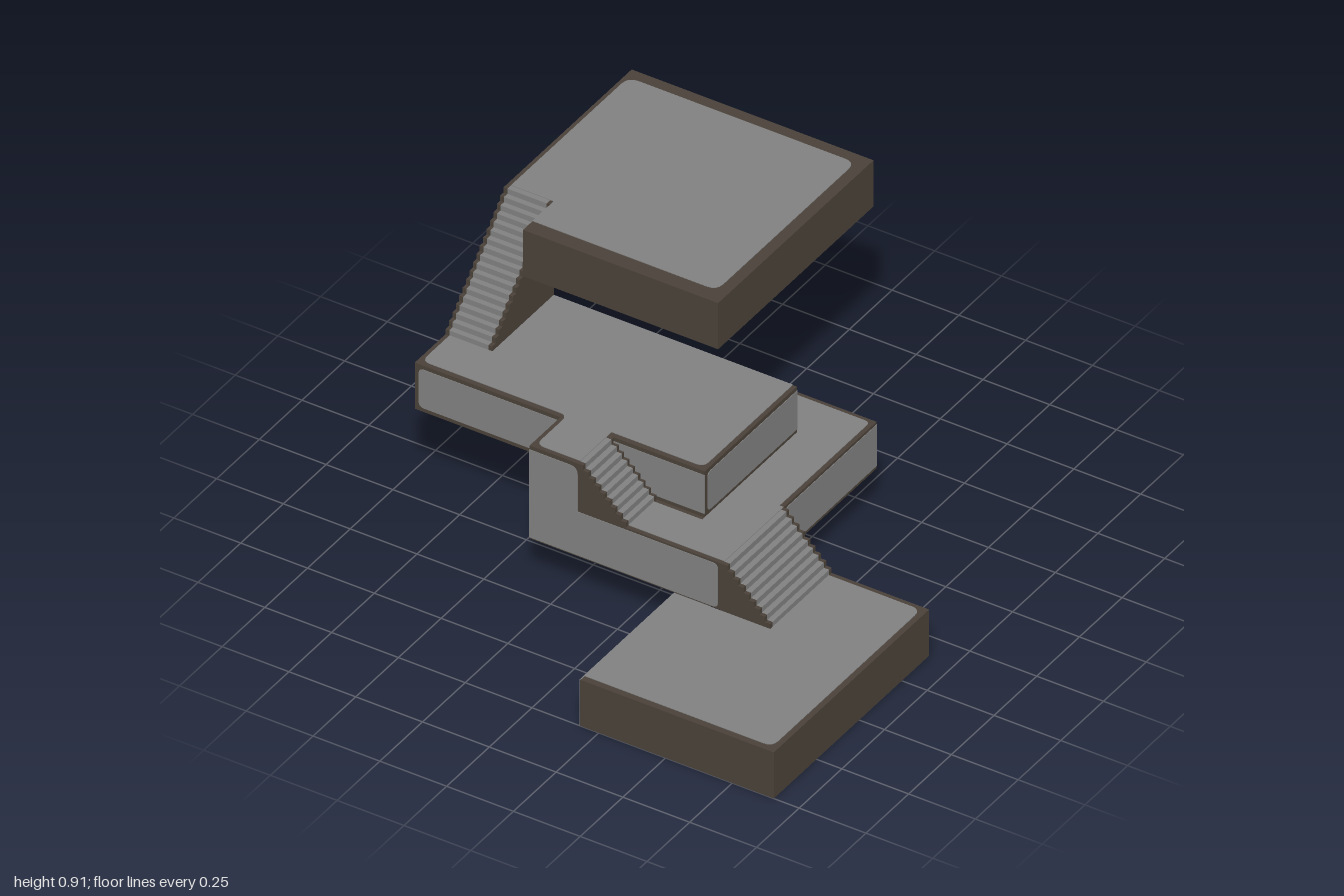
import * as THREE from 'three';

const stone = new THREE.MeshStandardMaterial({ color: 0x808080, side: THREE.DoubleSide });
stone.name = 'grey stone';
const trim = new THREE.MeshStandardMaterial({ color: 0x4a4239, side: THREE.DoubleSide });
trim.name = 'brown trim';

const T = 0.004; // thickness of the inlaid grey plates

// Polygon from [a, b, cornerRadius] points
function polygon(pts) {
  const s = new THREE.Shape();
  const n = pts.length;
  pts.forEach(([a, b, r = 0], i) => {
    const p = new THREE.Vector2(a, b);
    const toward = (q) => new THREE.Vector2(q[0], q[1]).sub(p).setLength(r).add(p);
    const from = r ? toward(pts[(i + n - 1) % n]) : p;
    if (i) s.lineTo(from.x, from.y); else s.moveTo(from.x, from.y);
    if (r) {
      const to = toward(pts[(i + 1) % n]);
      s.quadraticCurveTo(p.x, p.y, to.x, to.y);
    }
  });
  s.closePath();
  return s;
}

function mesh(name, geometry, material, parent) {
  const m = new THREE.Mesh(geometry, material);
  m.name = name;
  parent.add(m);
  return m;
}

const sheet = (pts) => new THREE.ShapeGeometry(polygon(pts), 4);
const plate = (pts) =>
  new THREE.ExtrudeGeometry(polygon(pts), { depth: T, bevelEnabled: false, curveSegments: 4 }).translate(0, 0, -T / 2);

// Horizontal floor: brown sheet with a grey inlay, points are [x, z, radius]
function floor(parent, y, outline, inlay) {
  const flip = (pts) => pts.map(([x, z, r]) => [x, -z, r]);
  mesh('floorBorder', sheet(flip(outline)).rotateX(-Math.PI / 2).translate(0, y, 0), trim, parent);
  mesh('floorInlay', plate(flip(inlay)).rotateX(-Math.PI / 2).translate(0, y, 0), stone, parent);
}

// Vertical wall from a to b; inset = [start, end, bottom, top] trim widths for a grey inlay
function wall(parent, [ax, az], [bx, bz], y0, y1, inset) {
  const L = Math.hypot(bx - ax, bz - az);
  const place = (g) => g.rotateY(-Math.atan2(bz - az, bx - ax)).translate(ax, 0, az);
  const rect = (l, r, b, t, cl = 0, cr = 0) => [[l, b, cl], [r, b, cr], [r, t, cr], [l, t, cl]];
  mesh('wall', place(sheet(rect(0, L, y0, y1))), trim, parent);
  if (!inset) return;
  const [s, e, b, t] = inset;
  const pts = rect(s, L - e, y0 + b, y1 - t, s ? 0.02 : 0, e ? 0.02 : 0);
  mesh('wallInlay', place(plate(pts)), stone, parent);
}

// Stair descending along +x from height h, width along +z, open underneath
function stair(name, n, run, h, width) {
  const g = new THREE.Group();
  g.name = name;
  const profile = [[0, h]];
  for (let i = 0; i < n; i++) {
    const u = ((i + 1) * run) / n;
    profile.push([u, h - (i * h) / n], [u, h - ((i + 1) * h) / n]);
  }
  const strip = (v0, v1) => {
    const p = [];
    for (let i = 0; i + 1 < profile.length; i++) {
      const [a, b] = profile[i];
      const [c, d] = profile[i + 1];
      p.push(a, b, v0, a, b, v1, c, d, v1, a, b, v0, c, d, v1, c, d, v0);
    }
    const geo = new THREE.BufferGeometry();
    geo.setAttribute('position', new THREE.Float32BufferAttribute(p, 3));
    geo.computeVertexNormals();
    return geo;
  };
  const e = 0.014;
  mesh('steps', strip(e, width - e), stone, g);
  for (const [v, v0] of [[0, 0], [width, width - e]]) {
    mesh('stepEdge', strip(v0, v0 + e), trim, g);
    mesh('stairSide', sheet([[0, 0], ...profile]).translate(0, 0, v), trim, g);
  }
  return g;
}

export function createModel() {
  const model = new THREE.Group();
  const terrace = (name) => {
    const g = new THREE.Group();
    g.name = name;
    model.add(g);
    return g;
  };
  const Y = [0, 0.183, 0.365, 0.545, 0.73, 0.91];

  // Lowest terrace
  const low = terrace('lowestTerrace');
  floor(low, Y[1] - 0.003,
    [[0.54, 0.09], [0.905, 0.09], [0.905, 1], [0.18, 1], [0.18, 0.45], [0.54, 0.45]],
    [[0.54, 0.107], [0.885, 0.107, 0.035], [0.885, 0.977, 0.035], [0.18, 0.977], [0.18, 0.45], [0.54, 0.45]]);
  wall(low, [0.18, 0.09], [0.905, 0.09], 0, 0.18);
  wall(low, [0.905, 0.09], [0.905, 1], 0, 0.18);
  wall(low, [0.18, 1], [0.905, 1], 0, 0.18);
  wall(low, [0.18, 0.09], [0.18, 1], 0, 0.18, [0, 0, 0, 0]);

  // Second terrace, its floor wrapping round the third
  const second = terrace('secondTerrace');
  floor(second, Y[2],
    [[-0.36, -0.455], [0.36, -0.455], [0.36, 0.45], [0, 0.45], [0, 0.27], [0.18, 0.27], [0.18, -0.27], [-0.36, -0.27]],
    [[-0.345, -0.44, 0.02], [0.345, -0.44, 0.02], [0.345, 0.09], [0.36, 0.09], [0.36, 0.435], [0, 0.435],
      [0, 0.285], [0.18, 0.285], [0.18, -0.27], [-0.345, -0.27]]);
  wall(second, [0.36, -0.455], [0.36, 0.09], Y[1], Y[2], [0, 0.01, 0.012, 0.01]);
  wall(second, [-0.36, -0.455], [0.36, -0.455], Y[1], Y[2], [0, 0, 0.012, 0.01]);
  wall(second, [-0.36, -0.455], [-0.36, 0.27], Y[1], Y[2], [0, 0, 0.012, 0]);
  wall(second, [-0.36, 0.27], [-0.36, 0.45], Y[1], Y[3], [0, 0, 0.005, 0.015]);
  // Front wall rises to the landing of the third terrace
  const front = [[-0.36, Y[1]], [0.36, Y[1]], [0.36, Y[2]], [-0.18, Y[2]], [-0.18, Y[3]], [-0.36, Y[3]]];
  const frontInlay = [[-0.36, 0.188], [0.345, 0.188, 0.02], [0.345, 0.358, 0.02], [-0.18, 0.358],
    [-0.18, 0.53, 0.03], [-0.36, 0.53]];
  mesh('frontWall', sheet(front).translate(0, 0, 0.45), trim, second);
  mesh('frontWallInlay', plate(frontInlay).translate(0, 0, 0.45), stone, second);

  // Third terrace with stair landing
  const third = terrace('thirdTerrace');
  floor(third, Y[3],
    [[-0.905, -0.27], [0.18, -0.27], [0.18, 0.27], [-0.18, 0.27], [-0.18, 0.45], [-0.36, 0.45], [-0.36, 0.27], [-0.905, 0.27]],
    [[-0.89, -0.27], [0.165, -0.27], [0.165, 0.252, 0.03], [-0.18, 0.252], [-0.18, 0.435], [-0.345, 0.435, 0.03],
      [-0.345, 0.252, 0.03], [-0.89, 0.252, 0.03]]);
  wall(third, [-0.905, 0.27], [-0.36, 0.27], Y[2], Y[3], [0.015, 0, 0.015, 0.015]);
  wall(third, [-0.18, 0.27], [0.18, 0.27], Y[2], Y[3], [0, 0, 0.015, 0.015]);
  wall(third, [-0.905, -0.27], [-0.905, 0.27], Y[2], Y[3], [0, 0.015, 0.015, 0.015]);
  wall(third, [0.18, -0.27], [0.18, 0.27], Y[2], Y[3], [0, 0.015, 0.015, 0.015]);
  wall(third, [-0.905, -0.27], [0.18, -0.27], Y[2], Y[3], [0, 0, 0.015, 0.015]);

  // Top terrace, notched for its stair
  const top = terrace('topTerrace');
  const rim = [[-0.905, -0.27], [-0.905, -1], [0, -1], [0, -0.09], [-0.73, -0.09], [-0.73, -0.27]];
  floor(top, Y[5], rim,
    [[-0.89, -0.27], [-0.89, -0.957, 0.04], [-0.04, -0.957, 0.04], [-0.04, -0.145, 0.04], [-0.73, -0.145], [-0.73, -0.27]]);
  for (let i = 0; i + 1 < rim.length; i++) wall(top, rim[i], rim[i + 1], Y[4], Y[5]);

  // Stairs between the terraces
  const lower = stair('lowerStair', 9, 0.18, Y[2] - 0.18, 0.36);
  lower.position.set(0.36, 0.18, 0.09);
  const middle = stair('middleStair', 9, 0.18, Y[3] - Y[2], 0.18);
  middle.position.set(-0.18, Y[2], 0.27);
  const upper = stair('upperStair', 18, 0.36, Y[5] - Y[3], 0.175);
  upper.rotation.y = -Math.PI / 2;
  upper.position.set(-0.73, Y[3], -0.27);
  model.add(lower, middle, upper);

  return model;
}
